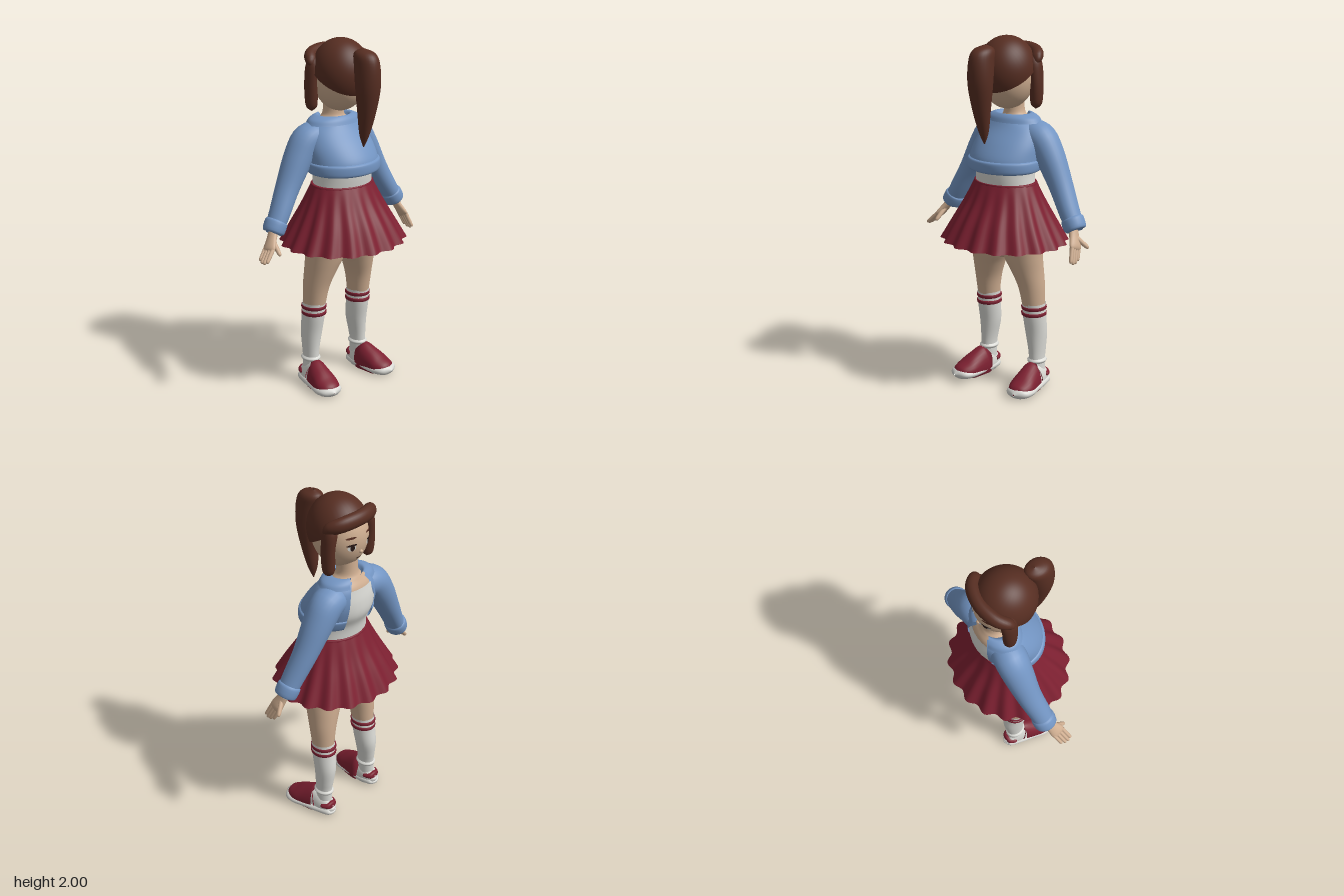
import * as THREE from 'three';

const mat = (name, color) => {
  const m = new THREE.MeshStandardMaterial({ color, side: THREE.DoubleSide });
  m.name = name;
  return m;
};

// Smooth skin through elliptical sections [x, y, z, radiusA, radiusB].
// flat keeps every ring horizontal; from/to open the ring; ripple(angle, t) is added to the radii.
function sweep(sections, { flat = false, from = 0, to = Math.PI * 2, seg = 28, steps = 5, ripple } = {}) {
  const path = new THREE.CatmullRomCurve3(sections.map(s => new THREE.Vector3(s[0], s[1], s[2])), false, 'catmullrom', 0.5);
  const size = new THREE.CatmullRomCurve3(sections.map(s => new THREE.Vector3(s[3], s[4] ?? s[3], 0)), false, 'catmullrom', 0.5);
  const rows = (sections.length - 1) * steps;
  const closed = to - from > 6.28;
  const cols = closed ? seg : seg + 1;
  const pos = [], idx = [];
  const first = path.getTangent(0.5);
  const ref = Math.abs(first.z) > 0.9 ? new THREE.Vector3(0, 1, 0) : new THREE.Vector3(0, 0, 1);
  for (let i = 0; i <= rows; i++) {
    const t = i / rows, c = path.getPoint(t), r = size.getPoint(t);
    const T = flat ? new THREE.Vector3(0, Math.sign(first.y), 0) : path.getTangent(t);
    const N = ref.clone().addScaledVector(T, -ref.dot(T)).normalize();
    const B = T.clone().cross(N);
    for (let j = 0; j < cols; j++) {
      const a = from + (to - from) * j / seg, w = ripple ? ripple(a, t) : 0;
      const p = c.clone().addScaledVector(B, Math.cos(a) * (Math.max(r.x, 0.001) + w))
        .addScaledVector(N, Math.sin(a) * (Math.max(r.y, 0.001) + w));
      pos.push(p.x, Math.max(p.y, 0), p.z);
    }
  }
  for (let i = 0; i < rows; i++) for (let j = 0; j < seg; j++) {
    const a = i * cols + j, b = i * cols + (j + 1) % cols;
    idx.push(a, a + cols, b, b, a + cols, b + cols);
  }
  const g = new THREE.BufferGeometry();
  g.setAttribute('position', new THREE.Float32BufferAttribute(pos, 3));
  g.setIndex(idx);
  g.computeVertexNormals();
  return g;
}

export function createModel() {
  const skin = mat('skin', 0xcfae91), hair = mat('hair brown', 0x572e22), blue = mat('jacket blue', 0x7395c3);
  const red = mat('dark red', 0x7d2031), white = mat('off white', 0xdadad5), dark = mat('eye dark', 0x2a1917);
  const model = new THREE.Group();
  model.name = 'girl';
  const body = new THREE.Group();
  body.name = 'body';
  body.position.x = 0.025;
  model.add(body);
  const add = (name, geo, m, parent = body) => {
    const mesh = new THREE.Mesh(geo, m);
    mesh.name = name;
    parent.add(mesh);
    return mesh;
  };

  // Hips, chest and neck
  add('hips', sweep([[0, 0.76, -0.015, 0.02, 0.05], [0, 0.82, -0.015, 0.15, 0.1], [0, 0.92, -0.015, 0.225, 0.125],
    [0, 1.05, -0.01, 0.21, 0.14], [0, 1.19, -0.01, 0.175, 0.14]], { flat: true }), skin);
  add('neck', sweep([[0, 1.42, -0.06, 0.16, 0.13], [0, 1.5, -0.08, 0.15, 0.105], [0, 1.55, -0.085, 0.085, 0.075],
    [0, 1.585, -0.085, 0.058, 0.06], [0, 1.67, -0.08, 0.055, 0.06]], { flat: true }), skin);
  add('shirt', sweep([[0, 1.17, -0.01, 0.178, 0.145], [0, 1.27, -0.01, 0.172, 0.158], [0, 1.35, -0.03, 0.19, 0.172],
    [0, 1.43, -0.05, 0.19, 0.155], [0, 1.51, -0.08, 0.155, 0.112]], { flat: true }), white);

  // Open jacket: its gap is on the chest side, toward -z
  const open = { flat: true, from: -Math.PI / 2 + 0.48, to: Math.PI * 1.5 - 0.48, seg: 48 };
  add('jacket', sweep([[0, 1.275, 0.005, 0.21, 0.173], [0, 1.34, -0.012, 0.21, 0.185], [0, 1.42, -0.045, 0.205, 0.167],
    [0, 1.5, -0.075, 0.175, 0.128], [0, 1.555, -0.08, 0.105, 0.095]], open), blue);
  add('jacketHem', sweep([[0, 1.268, 0.005, 0.2, 0.168], [0, 1.28, 0.004, 0.218, 0.182], [0, 1.325, -0.006, 0.22, 0.192],
    [0, 1.338, -0.012, 0.208, 0.184]], open), blue);
  add('collar', sweep([[0, 1.555, -0.08, 0.08, 0.075], [0, 1.575, -0.08, 0.105, 0.085], [0, 1.558, -0.08, 0.155, 0.105],
    [0, 1.53, -0.08, 0.178, 0.118]].reverse(), open), blue);

  // Pleated skirt
  add('skirt', sweep([[0, 0.866, 0, 0.362, 0.328], [0, 0.98, -0.002, 0.298, 0.268], [0, 1.09, -0.006, 0.24, 0.205],
    [0, 1.2, -0.01, 0.187, 0.152]], { flat: true, seg: 180, ripple: (a, t) => 0.013 * (1 - t) * Math.cos(18 * a) }), red);
  add('waistband', sweep([[0, 1.185, -0.01, 0.192, 0.157], [0, 1.202, -0.01, 0.188, 0.153], [0, 1.203, -0.01, 0.172, 0.14]],
    { flat: true }), red);

  for (const s of [1, -1]) {
    const side = s > 0 ? 'left' : 'right';
    const mirror = list => list.map(([x, ...rest]) => [x * s, ...rest]);

    // Sleeve and cuff
    add(side + 'Sleeve', sweep(mirror([[0.07, 1.455, -0.09, 0.08, 0.085], [0.165, 1.45, -0.1, 0.088, 0.092],
      [0.238, 1.36, -0.1, 0.082, 0.085], [0.325, 1.21, -0.09, 0.066, 0.07], [0.4, 1.08, -0.07, 0.056, 0.062],
      [0.448, 1.0, -0.06, 0.05, 0.056]])), blue);
    add(side + 'Cuff', sweep(mirror([[0.422, 1.045, -0.066, 0.053, 0.058], [0.429, 1.033, -0.065, 0.062, 0.066],
      [0.452, 0.992, -0.06, 0.06, 0.063], [0.457, 0.983, -0.059, 0.045, 0.05], [0.455, 0.987, -0.06, 0.02]]), { steps: 3 }), blue);

    // Leg, sock and stripes
    add(side + 'Leg', sweep(mirror([[0.11, 0.97, -0.015, 0.115, 0.12], [0.117, 0.86, -0.015, 0.118, 0.115],
      [0.12, 0.78, -0.022, 0.114, 0.106], [0.14, 0.7, -0.035, 0.092, 0.095], [0.16, 0.6, -0.05, 0.073, 0.08],
      [0.168, 0.48, -0.06, 0.06, 0.066]]), { flat: true }), skin);
    add(side + 'Sock', sweep(mirror([[0.168, 0.505, -0.06, 0.066, 0.07], [0.17, 0.42, -0.067, 0.064, 0.07],
      [0.173, 0.32, -0.08, 0.058, 0.067], [0.179, 0.23, -0.08, 0.047, 0.058], [0.182, 0.17, -0.077, 0.042, 0.053],
      [0.184, 0.08, -0.077, 0.042, 0.053]]), { flat: true }), white);
    add(side + 'AnkleRim', sweep(mirror([[0.182, 0.145, -0.077, 0.046, 0.056], [0.182, 0.158, -0.077, 0.053, 0.061],
      [0.182, 0.17, -0.077, 0.042, 0.053]]), { flat: true }), white);
    for (const y of [0.478, 0.442]) add(side + 'SockStripe', sweep(mirror([[0.168, y - 0.011, -0.064, 0.063, 0.067],
      [0.168, y - 0.008, -0.064, 0.069, 0.075], [0.168, y + 0.008, -0.062, 0.07, 0.075],
      [0.168, y + 0.011, -0.062, 0.063, 0.067]]), { flat: true, steps: 2 }), red);

    // Shoe: sole, heel and red toe; sections run along z
    add(side + 'Sole', sweep(mirror([[0.185, 0.035, -0.152, 0.005], [0.186, 0.03, -0.14, 0.042, 0.028],
      [0.19, 0.028, -0.07, 0.06, 0.032], [0.2, 0.028, 0.02, 0.072, 0.033], [0.212, 0.028, 0.1, 0.08, 0.034],
      [0.22, 0.03, 0.155, 0.062, 0.03], [0.224, 0.03, 0.184, 0.005]])), white);
    add(side + 'Heel', sweep(mirror([[0.185, 0.06, -0.145, 0.005], [0.185, 0.055, -0.135, 0.035, 0.045],
      [0.187, 0.05, -0.08, 0.052, 0.085], [0.19, 0.05, -0.015, 0.058, 0.108]])), white);
    add(side + 'ShoeUpper', sweep(mirror([[0.19, 0.05, -0.025, 0.062, 0.09], [0.19, 0.05, -0.02, 0.064, 0.108],
      [0.2, 0.045, 0.04, 0.071, 0.086], [0.21, 0.04, 0.1, 0.073, 0.058], [0.219, 0.04, 0.15, 0.05, 0.032],
      [0.223, 0.04, 0.172, 0.005]])), red);
    add(side + 'HeelPatch', sweep(mirror([[0.185, 0.068, -0.153, 0.005], [0.185, 0.068, -0.145, 0.034, 0.022],
      [0.186, 0.068, -0.12, 0.05, 0.022], [0.187, 0.068, -0.1, 0.053, 0.02], [0.187, 0.068, -0.097, 0.03, 0.01]])), red);

    // Side lock of hair
    add(side + 'HairLock', sweep(mirror([[0.11, 1.9, -0.09, 0.015], [0.135, 1.86, -0.092, 0.036, 0.042],
      [0.152, 1.77, -0.092, 0.032, 0.042], [0.151, 1.68, -0.092, 0.034, 0.038], [0.148, 1.63, -0.092, 0.028, 0.03],
      [0.146, 1.607, -0.092, 0.003]])), hair);
  }

  // Hands: palm, four fingers fanned along z, and a thumb
  const hands = [
    ['left', [0.435, 1.01, -0.06], [0.485, 0.905, -0.02], [0.508, 0.818, 0.02], [0.53, 0.89, -0.08]],
    ['right', [-0.445, 1.01, -0.06], [-0.515, 0.915, -0.02], [-0.58, 0.85, 0.005], [-0.49, 0.885, 0.045]],
  ];
  for (const [side, wrist, palm, tip, thumb] of hands) {
    const mix = (a, b, t) => a.map((v, k) => v + (b[k] - v) * t);
    add(side + 'Palm', sweep([[...wrist, 0.026, 0.03], [...mix(wrist, palm, 0.5), 0.02, 0.033],
      [...palm, 0.017, 0.042], [...mix(palm, tip, 0.25), 0.004, 0.03]]), skin);
    for (let f = 0; f < 4; f++) {
      const dz = (f - 1.5) * 0.02, reach = f === 0 || f === 3 ? 0.88 : 1;
      const end = mix(palm, tip, reach), at = (p, r) => [p[0], p[1], p[2] + dz, r];
      add(side + 'Finger', sweep([at(palm, 0.012), at(mix(palm, end, 0.6), 0.011), at(mix(palm, end, 0.92), 0.009),
        at(end, 0.001)], { seg: 10, steps: 3 }), skin);
    }
    const root = mix(wrist, palm, 0.5);
    add(side + 'Thumb', sweep([[...root, 0.014], [...mix(root, thumb, 0.6), 0.013], [...mix(root, thumb, 0.92), 0.01],
      [...thumb, 0.001]], { seg: 10, steps: 3 }), skin);
  }

  // Head and hair cap, the cap tilted back off the face
  const H = { x: 0.145, y: 0.185, z: 0.158, cy: 1.785, cz: -0.03 };
  add('head', new THREE.SphereGeometry(1, 40, 28).scale(H.x, H.y, H.z).translate(0, H.cy, H.cz), skin);
  add('hairCap', new THREE.SphereGeometry(1, 40, 24, 0, Math.PI * 2, 0, Math.PI * 0.53).rotateX(0.5)
    .scale(0.162, 0.19, 0.172).translate(0, 1.81, -0.02), hair);
  add('fringe', sweep([[-0.158, 1.85, -0.07, 0.004], [-0.148, 1.88, -0.095, 0.035, 0.03], [-0.1, 1.905, -0.143, 0.042, 0.036],
    [0, 1.915, -0.166, 0.042, 0.036], [0.1, 1.905, -0.143, 0.042, 0.036], [0.148, 1.88, -0.095, 0.035, 0.03],
    [0.158, 1.85, -0.07, 0.004]]), hair);
  add('ponytail', sweep([[0, 1.43, 0.165, 0.003], [0, 1.5, 0.172, 0.028], [0, 1.62, 0.188, 0.05, 0.05],
    [0, 1.76, 0.197, 0.068, 0.069], [0, 1.88, 0.188, 0.064, 0.077], [0, 1.94, 0.17, 0.05, 0.065],
    [0, 1.966, 0.155, 0.004]], { flat: true }), hair);

  // Thin face details wrapped onto the head
  const facePlate = (name, m, x, y, w, h, lift, tilt = 0) => {
    const g = new THREE.CircleGeometry(1, 20).scale(w, h, 1).rotateZ(tilt).rotateY(Math.PI).translate(x, y, 0);
    const p = g.attributes.position;
    for (let i = 0; i < p.count; i++) {
      const k = 1 - (p.getX(i) / H.x) ** 2 - ((p.getY(i) - H.cy) / H.y) ** 2;
      p.setZ(i, H.cz - H.z * Math.sqrt(Math.max(k, 0)) - lift);
    }
    g.computeVertexNormals();
    add(name, g, m);
  };
  for (const s of [1, -1]) {
    facePlate('eyeWhite', white, s * 0.06, 1.765, 0.021, 0.018, 0.002);
    facePlate('iris', dark, s * 0.058, 1.765, 0.011, 0.017, 0.004);
    facePlate('eyelash', dark, s * 0.062, 1.783, 0.026, 0.006, 0.005, s * 0.12);
    facePlate('eyebrow', hair, s * 0.062, 1.822, 0.027, 0.006, 0.003, s * 0.1);
  }
  facePlate('mouth', dark, 0, 1.687, 0.02, 0.004, 0.002);
  add('nose', new THREE.SphereGeometry(0.011, 12, 8).translate(0, 1.728, -0.181), skin);

  return model;
}
